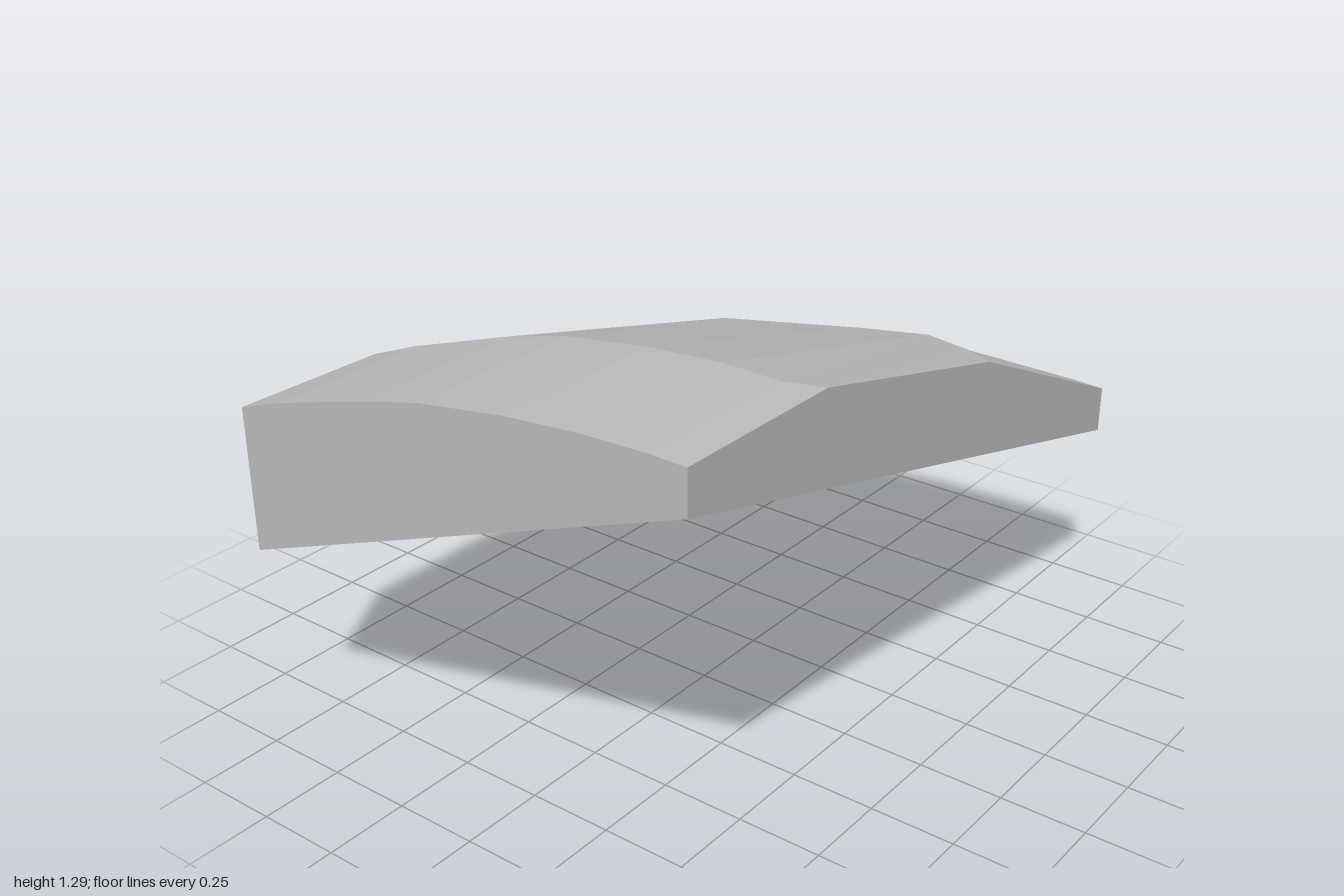
import * as THREE from 'three';

// Cross-sections from front to back: z, then [x, y] of the four roof points
const SECTIONS = [
  [0.72, [-1, 1.29], [-0.48, 1.29], [0.28, 1.1], [1, 0.775]],
  [0.62, [-1, 1.292], [-0.52, 1.293], [0.35, 1.085], [1, 0.78]],
  [0.43, [-1, 1.285], [-0.5, 1.285], [0.46, 1.048], [1, 0.768]],
  [0.2, [-1, 1.264], [-0.49, 1.264], [0.47, 1.01], [1, 0.748]],
  [-0.07, [-1, 1.222], [-0.48, 1.222], [0.455, 0.968], [1, 0.695]],
  [-0.26, [-1, 1.175], [-0.49, 1.178], [0.44, 0.94], [1, 0.642]],
  [-0.57, [-1, 1.087], [-0.53, 1.087], [0.4, 0.852], [1, 0.55]],
  [-0.72, [-1, 1.035], [-0.54, 1.03], [0.39, 0.807], [1, 0.48]],
];

// Each section becomes a closed ring: roof points, then the two sloping base points
const RINGS = SECTIONS.map(([z, ...roof]) => {
  const t = (0.72 - z) / 1.44;
  const base = [
    [1, THREE.MathUtils.lerp(0.64, 0, t)],
    [-1, THREE.MathUtils.lerp(1.17, 0.62, t)],
  ];
  return [...roof, ...base].map(([x, y]) => new THREE.Vector3(x, y, z));
});

function meshFrom(name, triangles, material) {
  const geometry = new THREE.BufferGeometry().setFromPoints(triangles);
  geometry.computeVertexNormals();
  const mesh = new THREE.Mesh(geometry, material);
  mesh.name = name;
  return mesh;
}

// Strip of quads along the body, between ring points 'from' and 'to'
function skin(from, to) {
  const out = [];
  for (let i = 0; i < RINGS.length - 1; i++) {
    for (let j = from; j < to; j++) {
      const k = (j + 1) % 6;
      const a = RINGS[i][j], b = RINGS[i][k];
      const c = RINGS[i + 1][k], d = RINGS[i + 1][j];
      out.push(a, b, c, a, c, d);
    }
  }
  return out;
}

// Flat end wall filling one ring
function cap(ring, front) {
  const out = [];
  for (let j = 1; j < 5; j++) {
    if (front) out.push(ring[0], ring[j + 1], ring[j]);
    else out.push(ring[0], ring[j], ring[j + 1]);
  }
  return out;
}

export function createModel() {
  const group = new THREE.Group();
  group.name = 'facetedWedge';
  const grey = new THREE.MeshStandardMaterial({ color: 0xbcbcbc });
  grey.name = 'plainGrey';
  grey.flatShading = true;

  group.add(
    meshFrom('curvedTop', skin(0, 3), grey),
    meshFrom('leftSide', skin(3, 4), grey),
    meshFrom('slopingBase', skin(4, 5), grey),
    meshFrom('rightSide', skin(5, 6), grey),
    meshFrom('frontWall', cap(RINGS[0], true), grey),
    meshFrom('backWall', cap(RINGS[RINGS.length - 1], false), grey),
  );
  return group;
}
